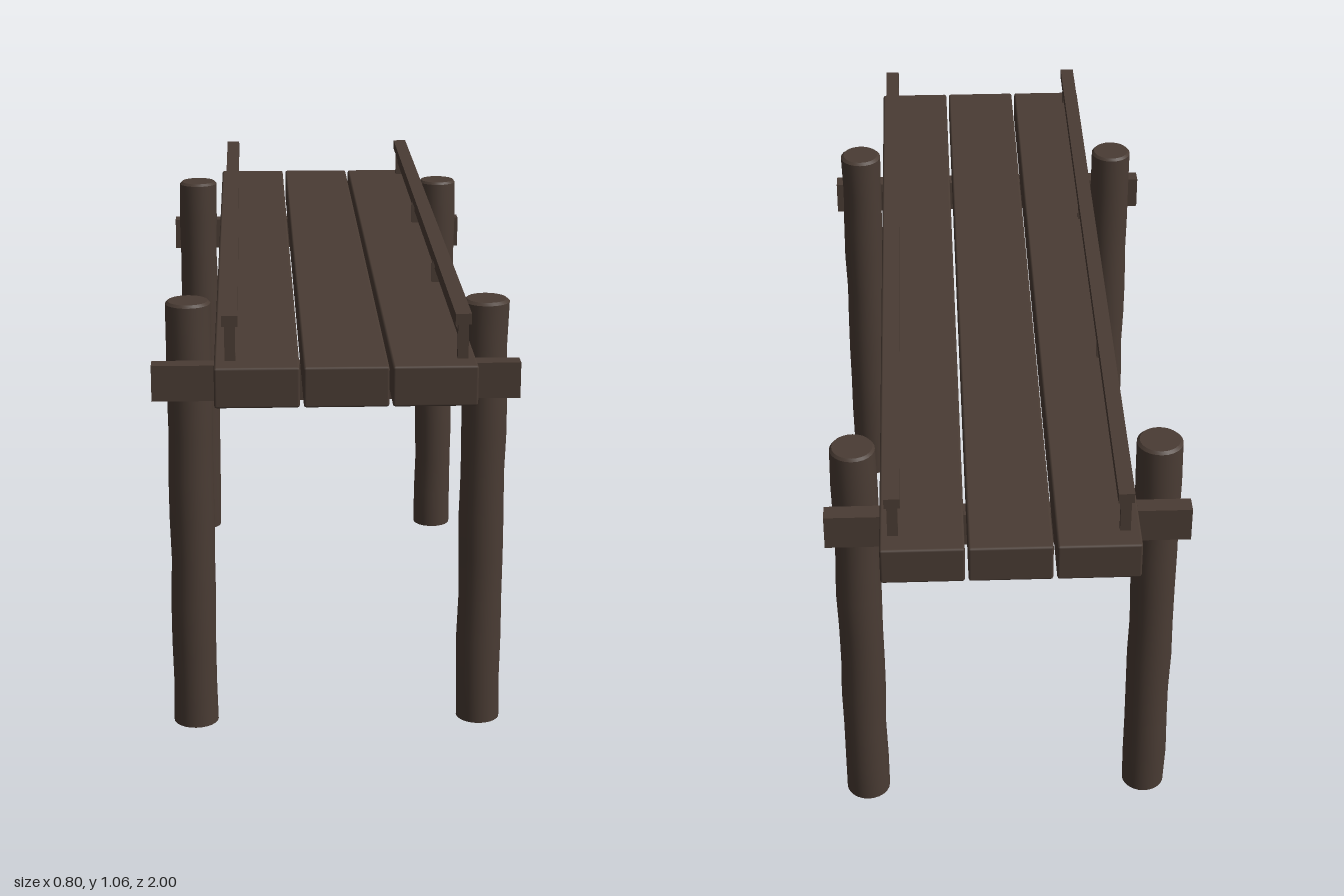
import * as THREE from 'three';
import { RoundedBoxGeometry } from 'three/addons/geometries/RoundedBoxGeometry.js';
import { toCreasedNormals } from 'three/addons/utils/BufferGeometryUtils.js';

const darkWood = new THREE.MeshStandardMaterial({ color: 0x4a3c34 });
darkWood.name = 'darkWood';

// Adds a box given by its centre and size; bevel rounds the edges slightly
function addBox(parent, name, [x, y, z], [w, h, d], bevel = 0) {
  const geometry = bevel
    ? new RoundedBoxGeometry(w, h, d, 1, bevel)
    : new THREE.BoxGeometry(w, h, d);
  const mesh = new THREE.Mesh(geometry, darkWood);
  mesh.name = name;
  mesh.position.set(x, y, z);
  parent.add(mesh);
}

// Round log with a chamfered top and a slightly uneven trunk
function pileGeometry(seed) {
  const radius = 0.05, rings = 10;
  const profile = [new THREE.Vector2(0, 0)];
  for (let i = 0; i <= rings; i++) {
    const wobble = 0.0012 * Math.sin(i * 2.3 + seed * 1.7);
    profile.push(new THREE.Vector2(radius + wobble, (i / rings) * 0.994));
  }
  profile.push(new THREE.Vector2(radius - 0.006, 1), new THREE.Vector2(0, 1));
  const geometry = new THREE.LatheGeometry(profile, 24);
  const p = geometry.attributes.position;
  for (let i = 0; i < p.count; i++) {
    const y = p.getY(i);
    p.setX(i, p.getX(i) + 0.001 * Math.sin(y * 17 + seed));
    p.setZ(i, p.getZ(i) + 0.001 * Math.cos(y * 14 + seed * 2));
  }
  return toCreasedNormals(geometry, 0.6);
}

export function createModel() {
  const model = new THREE.Group();
  model.name = 'woodenPier';

  // Deck of three long planks
  const deck = new THREE.Group();
  deck.name = 'deck';
  [-0.173, 0.008, 0.188].forEach((x) =>
    addBox(deck, 'deckPlank', [x, 0.9225, 0], [0.173, 0.085, 2], 0.005));
  model.add(deck);

  // Cross beams under the deck
  addBox(model, 'frontBeam', [0, 0.84, 0.671], [0.8, 0.08, 0.04]);
  addBox(model, 'backBeam', [0.004, 0.84, -0.76], [0.786, 0.08, 0.04]);

  // Four support piles
  [[-0.32, 0.595], [0.332, 0.595], [-0.324, -0.687], [0.332, -0.687]].forEach(([x, z], i) => {
    const pile = new THREE.Mesh(pileGeometry(i + 1), darkWood);
    pile.name = 'supportPile';
    pile.position.set(x, 0, z);
    model.add(pile);
  });

  // Low railings along both sides
  for (const [name, x] of [['rightRailing', -0.227], ['leftRailing', 0.247]]) {
    const railing = new THREE.Group();
    railing.name = name;
    railing.position.x = x;
    addBox(railing, 'topRail', [0, 1.048, -0.003], [0.033, 0.023, 1.9]);
    addBox(railing, 'middleRail', [0, 1.001, -0.003], [0.01, 0.01, 1.89]);
    for (const z of [-0.945, -0.313, 0.31, 0.94]) {
      addBox(railing, 'railPost', [0, 1.0, z], [0.022, 0.08, 0.013]);
    }
    model.add(railing);
  }

  return model;
}
